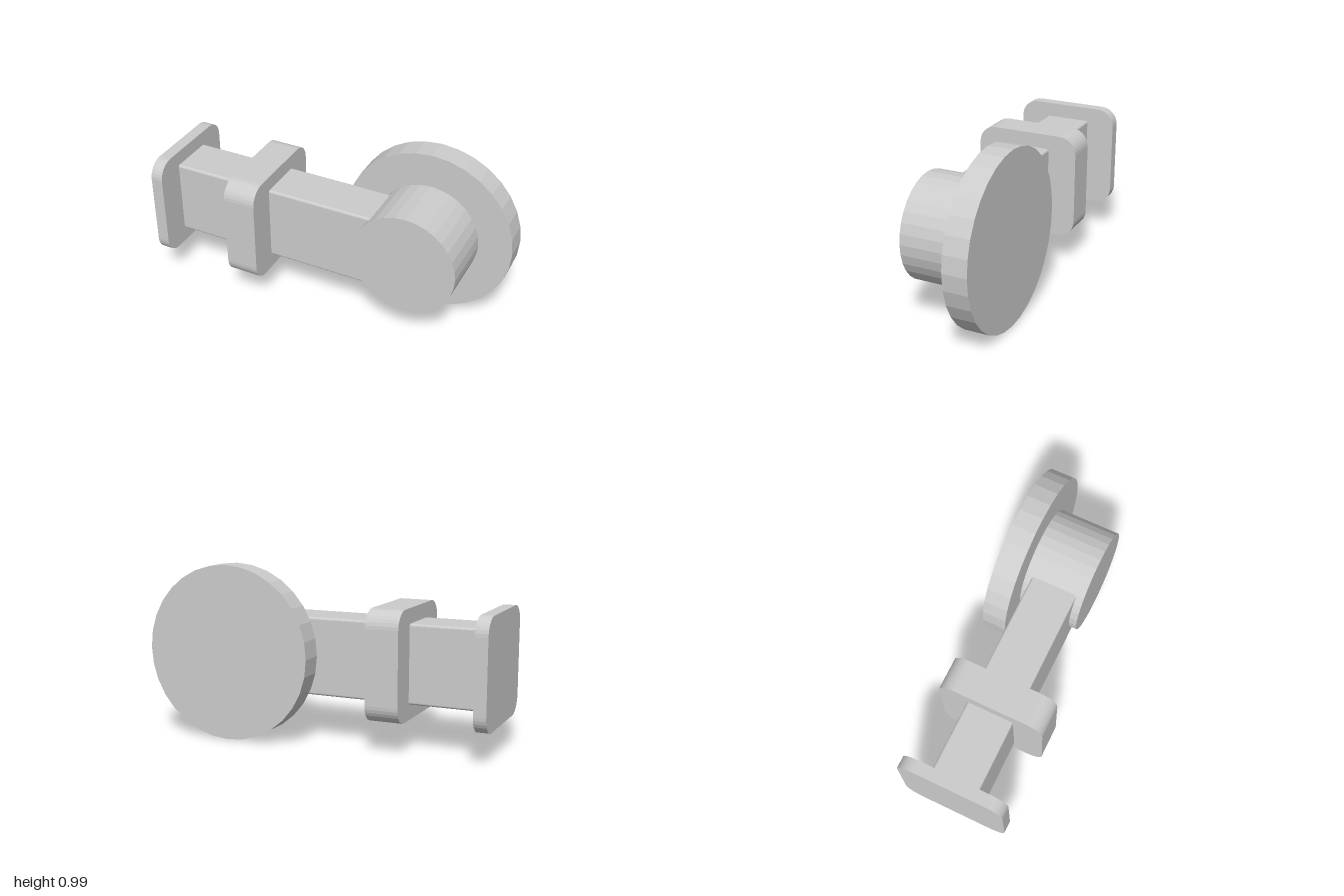
import * as THREE from 'three';

export function createModel() {
  const group = new THREE.Group();
  const material = new THREE.MeshStandardMaterial({ color: 0xcccccc, flatShading: true });

  function add(name, geometry) {
    const mesh = new THREE.Mesh(geometry, material);
    mesh.name = name;
    group.add(mesh);
  }

  // Rounded rectangle section (depth along z, height along y) swept from x0 to x1
  function roundedBlock(name, x0, x1, y0, y1, halfDepth, r, zMid = 0) {
    const s = new THREE.Shape();
    const w = halfDepth;
    s.absarc(w - r, y0 + r, r, -Math.PI / 2, 0);
    s.absarc(w - r, y1 - r, r, 0, Math.PI / 2);
    s.absarc(-w + r, y1 - r, r, Math.PI / 2, Math.PI);
    s.absarc(-w + r, y0 + r, r, Math.PI, Math.PI * 1.5);
    s.closePath();
    const geometry = new THREE.ExtrudeGeometry(s, { depth: x1 - x0, bevelEnabled: false, curveSegments: 4 });
    geometry.rotateY(Math.PI / 2).translate(x0, 0, zMid);
    add(name, geometry);
  }

  // Disc with its axis along z, from z0 to z1
  function disc(name, radius, z0, z1) {
    const geometry = new THREE.CylinderGeometry(radius, radius, z1 - z0, 32);
    geometry.rotateX(Math.PI / 2).translate(0.504, 0.496, (z0 + z1) / 2);
    add(name, geometry);
  }

  // Round head: wide back flange and front boss
  disc('flange', 0.496, -0.312, -0.172);
  disc('boss', 0.301, -0.172, 0.183);

  // Shank running into the boss, with its collar and end plate
  roundedBlock('shank', -0.93, 0.45, 0.264, 0.705, 0.136, 0.014, 0.002);
  roundedBlock('collar', -0.52, -0.333, 0.177, 0.79, 0.307, 0.1, 0.004);
  roundedBlock('endPlate', -1, -0.93, 0.177, 0.79, 0.307, 0.1, 0.004);

  return group;
}
